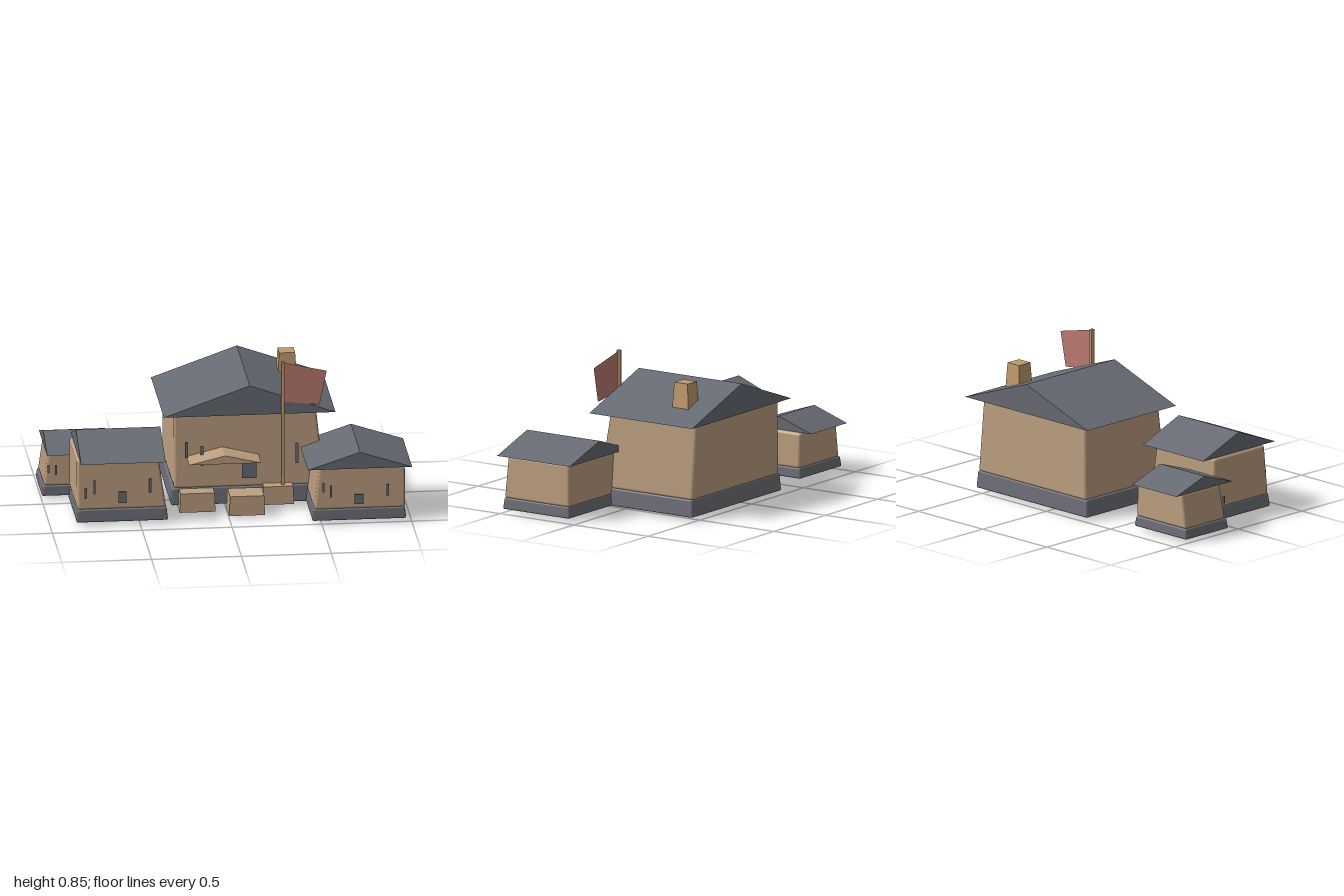
import * as THREE from 'three';
import { RoundedBoxGeometry } from 'three/addons/geometries/RoundedBoxGeometry.js';

const mat = (name, color) => {
  const m = new THREE.MeshStandardMaterial({ color });
  m.name = name;
  return m;
};

export function createModel() {
  const wall = mat('tan wall', 0xbd9f80);
  const stone = mat('grey plinth', 0x70727a);
  const slate = mat('slate roof', 0x666a72);
  const glass = mat('window grey', 0x666d74);
  const timber = mat('timber', 0xbf9a6d);
  const cloth = mat('red cloth', 0xbb7a70);
  cloth.side = THREE.DoubleSide;

  const model = new THREE.Group();
  model.name = 'homestead';
  const add = (parent, name, geometry, material) => {
    const mesh = new THREE.Mesh(geometry, material);
    mesh.name = name;
    parent.add(mesh);
    return mesh;
  };

  // Leaning block between a bottom and a top rectangle [x0, x1, z0, z1]
  function block(parent, name, bottom, top, y0, y1, material, radius = 0) {
    const g = radius
      ? new RoundedBoxGeometry(bottom[1] - bottom[0], y1 - y0, bottom[3] - bottom[2], 2, radius)
      : new THREE.BoxGeometry(bottom[1] - bottom[0], y1 - y0, bottom[3] - bottom[2]);
    const p = g.attributes.position;
    const lerp = THREE.MathUtils.lerp;
    for (let i = 0; i < p.count; i++) {
      const t = p.getY(i) / (y1 - y0) + 0.5;
      const u = p.getX(i) / (bottom[1] - bottom[0]) + 0.5;
      const w = p.getZ(i) / (bottom[3] - bottom[2]) + 0.5;
      p.setXYZ(i,
        lerp(lerp(bottom[0], bottom[1], u), lerp(top[0], top[1], u), t),
        lerp(y0, y1, t),
        lerp(lerp(bottom[2], bottom[3], w), lerp(top[2], top[3], w), t));
    }
    if (!radius) g.computeVertexNormals();
    return add(parent, name, g, material);
  }

  // Closed triangular roof with its ridge along z or x
  function gable(parent, name, [x0, x1, z0, z1], y0, y1, ridge, material) {
    const alongX = ridge === 'x';
    const span = alongX ? z1 - z0 : x1 - x0;
    const length = alongX ? x1 - x0 : z1 - z0;
    const shape = new THREE.Shape();
    shape.moveTo(-span / 2, 0);
    shape.lineTo(span / 2, 0);
    shape.lineTo(0, y1 - y0);
    shape.closePath();
    const g = new THREE.ExtrudeGeometry(shape, { depth: length, bevelEnabled: false });
    g.translate(0, 0, -length / 2);
    if (alongX) g.rotateY(-Math.PI / 2);
    g.translate((x0 + x1) / 2, y0, (z0 + z1) / 2);
    return add(parent, name, g, material);
  }

  const houses = [
    {
      name: 'mainHouse', y: [0.02, 0.12, 0.54, 0.71], ridge: 'z',
      base: [-0.305, 0.56, -0.49, 0.16], foot: [-0.288, 0.55, -0.483, 0.15], head: [-0.285, 0.51, -0.483, 0.1],
      roof: [-0.345, 0.61, -0.525, 0.17], front: 0.163,
      windows: [[-0.218, 0.345, 0.016, 0.09], [-0.133, 0.307, 0.016, 0.115], [0.13, 0.22, 0.08, 0.1], [0.395, 0.307, 0.016, 0.115]],
    },
    {
      name: 'leftHouse', y: [0.02, 0.095, 0.378, 0.49], ridge: 'x',
      base: [-0.855, -0.345, -0.045, 0.4], foot: [-0.85, -0.355, -0.04, 0.39], head: [-0.85, -0.395, -0.035, 0.36],
      roof: [-0.835, -0.365, -0.11, 0.455], front: 0.402,
      windows: [[-0.805, 0.192, 0.014, 0.058], [-0.755, 0.226, 0.012, 0.08], [-0.6, 0.163, 0.045, 0.065], [-0.445, 0.226, 0.012, 0.08]],
    },
    {
      name: 'backHouse', y: [0.02, 0.08, 0.275, 0.35], ridge: 'x',
      base: [-1, -0.595, -0.41, -0.075], foot: [-0.988, -0.6, -0.4, -0.085], head: [-0.96, -0.61, -0.4, -0.105],
      roof: [-0.975, -0.63, -0.46, -0.02], front: -0.075,
      windows: [[-0.962, 0.177, 0.01, 0.04], [-0.92, 0.17, 0.01, 0.055], [-0.8, 0.12, 0.04, 0.05], [-0.68, 0.17, 0.01, 0.055]],
    },
    {
      name: 'rightHouse', y: [0.02, 0.087, 0.325, 0.42], ridge: 'z',
      base: [0.446, 0.97, 0.055, 0.505], foot: [0.455, 0.965, 0.06, 0.497], head: [0.488, 0.965, 0.06, 0.472],
      roof: [0.42, 1, 0.03, 0.52], front: 0.508,
      windows: [[0.508, 0.215, 0.012, 0.05], [0.55, 0.192, 0.012, 0.065], [0.705, 0.143, 0.05, 0.055], [0.865, 0.192, 0.012, 0.065]],
    },
  ];

  // Each house: plinth, walls, roof and window plates
  for (const h of houses) {
    const house = new THREE.Group();
    house.name = h.name;
    model.add(house);
    const top = [h.base[0] + 0.008, h.base[1] - 0.008, h.base[2] + 0.007, h.base[3] - 0.007];
    block(house, 'plinth', h.base, top, h.y[0], h.y[1], stone, 0.01);
    block(house, 'walls', h.foot, h.head, h.y[1] - 0.005, h.y[2], wall, 0.016);
    gable(house, 'roof', h.roof, h.y[2], h.y[3], h.ridge, slate);
    for (const [x, y, w, height] of h.windows) {
      add(house, 'window', new THREE.BoxGeometry(w, height, 0.008), glass).position.set(x, y, h.front);
    }
  }

  // Chimney
  block(model, 'chimney', [0.335, 0.44, -0.378, -0.272], [0.343, 0.432, -0.37, -0.28], 0.6, 0.742, timber);

  // Porch canopy and entrance blocks
  gable(model, 'porchCanopy', [-0.215, 0.185, 0.1, 0.28], 0.295, 0.343, 'z', wall);
  const steps = [
    [[-0.265, -0.065, 0.1, 0.24], 0.005, 0.115],
    [[0, 0.2, 0.2, 0.345], 0.012, 0.125],
    [[0.2, 0.375, 0.07, 0.212], 0.025, 0.13],
  ];
  for (const [r, y0, y1] of steps) {
    block(model, 'entranceBlock', r, [r[0] + 0.005, r[1] - 0.005, r[2], r[3]], y0, y1, wall);
  }

  // Octagonal footing under the main house
  const footing = add(model, 'footing', new THREE.CylinderGeometry(0.13, 0.115, 0.03, 8).toNonIndexed(), stone);
  footing.geometry.computeVertexNormals();
  footing.position.set(-0.01, 0.015, -0.035);

  // Flagpole and cloth
  add(model, 'flagpole', new THREE.BoxGeometry(0.018, 0.72, 0.022), timber).position.set(0.316, 0.485, 0.175);
  const flag = new THREE.Shape();
  flag.moveTo(0.322, 0.84);
  flag.lineTo(0.322, 0.612);
  flag.lineTo(0.52, 0.588);
  flag.lineTo(0.56, 0.785);
  flag.closePath();
  add(model, 'flag', new THREE.ShapeGeometry(flag), cloth).position.z = 0.175;

  return model;
}
